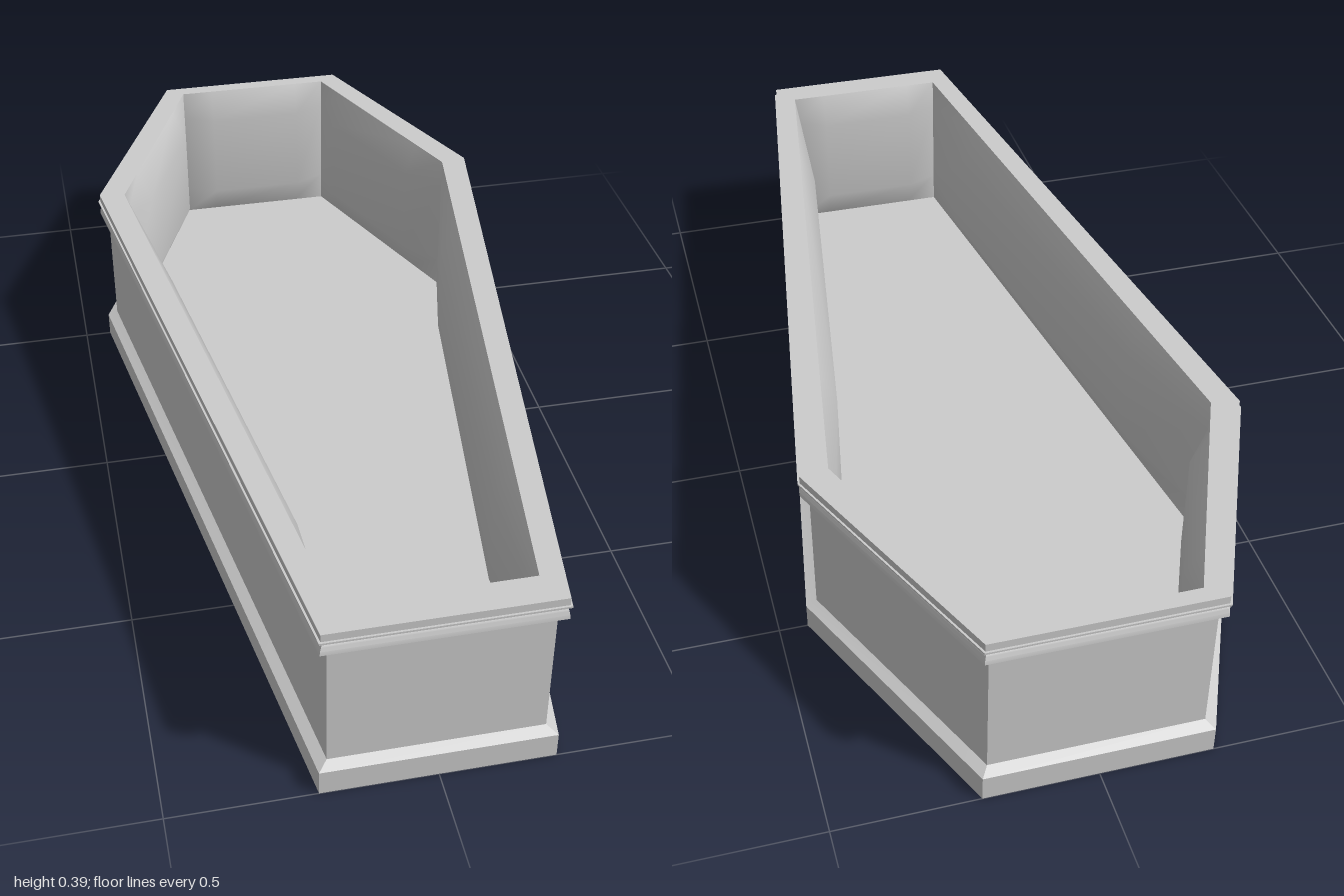
import * as THREE from 'three';
import { toCreasedNormals } from 'three/addons/utils/BufferGeometryUtils.js';

// Plan outlines as [x, z], running from the front left corner towards the back
const mirrored = (half) => [...half, ...half.map(([x, z]) => [-x, z]).reverse()];
const OUTER = mirrored([[0.221, 1], [0.443, -0.5], [0.221, -1]]);
const INNER = mirrored([[0.18, 0.931], [0.381, -0.49], [0.18, -0.963]]);
const TOP = 0.39, FLOOR = 0.045;

// Outward normal of the edge from a to b
function edgeNormal(a, b) {
  return new THREE.Vector2(a[1] - b[1], b[0] - a[0]).normalize();
}

// Outline moved inwards by d, with mitred corners
function inset(outline, d) {
  const n = outline.length;
  return outline.map((p, i) => {
    const n1 = edgeNormal(outline[(i + n - 1) % n], p);
    const n2 = edgeNormal(p, outline[(i + 1) % n]);
    const k = d / (1 + n1.dot(n2));
    return [p[0] - (n1.x + n2.x) * k, p[1] - (n1.y + n2.y) * k];
  });
}

function fromTriangles(points) {
  const geometry = new THREE.BufferGeometry().setFromPoints(points);
  geometry.computeVertexNormals();
  return geometry;
}

// Skin between stacked rings of { y, points }
function skin(rings) {
  const out = [];
  const at = (ring, i) => {
    const p = ring.points[i % ring.points.length];
    return new THREE.Vector3(p[0], ring.y, p[1]);
  };
  for (let r = 0; r < rings.length - 1; r++) {
    for (let i = 0; i < rings[r].points.length; i++) {
      const a = at(rings[r], i), b = at(rings[r], i + 1);
      const c = at(rings[r + 1], i + 1), d = at(rings[r + 1], i);
      out.push(a, b, c, a, c, d);
    }
  }
  return toCreasedNormals(fromTriangles(out), 0.4);
}

// Flat six-sided sheet facing up or down
function sheet(outline, y, up) {
  const v = outline.map(([x, z]) => new THREE.Vector3(x, y, z));
  const out = [];
  for (let i = 1; i < v.length - 1; i++) {
    out.push(v[0], ...(up ? [v[i], v[i + 1]] : [v[i + 1], v[i]]));
  }
  return fromTriangles(out);
}

// Inner wall panel whose middle swells inwards like a cushion
function paddedPanel(a, b) {
  const steps = [0, 0.2, 0.8, 1];
  const normal = edgeNormal(a, b);
  const geometry = new THREE.PlaneGeometry(1, 1, 3, 3);
  const pos = geometry.attributes.position;
  for (let i = 0; i < pos.count; i++) {
    const col = i % 4, row = Math.floor(i / 4);
    const u = steps[col], v = steps[row];
    const swell = col % 3 && row % 3 ? 0.032 : 0;
    pos.setXYZ(i,
      b[0] + (a[0] - b[0]) * u - normal.x * swell,
      TOP + (FLOOR - TOP) * v,
      b[1] + (a[1] - b[1]) * u - normal.y * swell);
  }
  geometry.computeVertexNormals();
  return geometry;
}

export function createModel() {
  const group = new THREE.Group();
  const material = new THREE.MeshStandardMaterial({ color: 0xcccccc });
  const add = (name, geometry, parent = group) => {
    const mesh = new THREE.Mesh(geometry, material);
    mesh.name = name;
    parent.add(mesh);
  };
  const molding = (profile) => profile.map(([d, y]) => ({ y, points: inset(OUTER, d) }));

  // Plinth with sloped top edge
  add('plinth', skin(molding([[0, 0], [0, 0.053], [0.021, 0.063]])));
  add('underside', sheet(OUTER, 0, false));

  // Straight outer walls
  add('outerWalls', skin(molding([[0.021, 0.063], [0.021, 0.336]])));

  // Bead, cove and top slab, closed by the flat rim
  const cove = [];
  for (let i = 0; i <= 5; i++) {
    const t = (i / 5) * Math.PI / 2;
    cove.push([0.003 + 0.018 * Math.cos(t), 0.343 + 0.027 * Math.sin(t)]);
  }
  // Quarter curve that flares outwards towards the top
  const flare = cove.map((_, i) => {
    const t = (i / 5) * Math.PI / 2;
    return [0.003 + 0.018 * Math.cos(Math.PI / 2 - t + Math.PI / 2) + 0.018, 0.343 + 0.027 * Math.sin(t)];
  });
  add('corniceMolding', skin([
    ...molding([[0.021, 0.336], [0.013, 0.336], [0.013, 0.343], ...flare,
      [0.001, 0.37], [0.001, 0.374], [0.005, 0.374], [0.005, TOP]]),
    { y: TOP, points: INNER },
  ]));

  // Padded lining and floor
  const lining = new THREE.Group();
  lining.name = 'lining';
  group.add(lining);
  INNER.forEach((p, i) => add('paddedPanel', paddedPanel(p, INNER[(i + 1) % INNER.length]), lining));
  add('floor', sheet(INNER, FLOOR, true), lining);
  return group;
}
